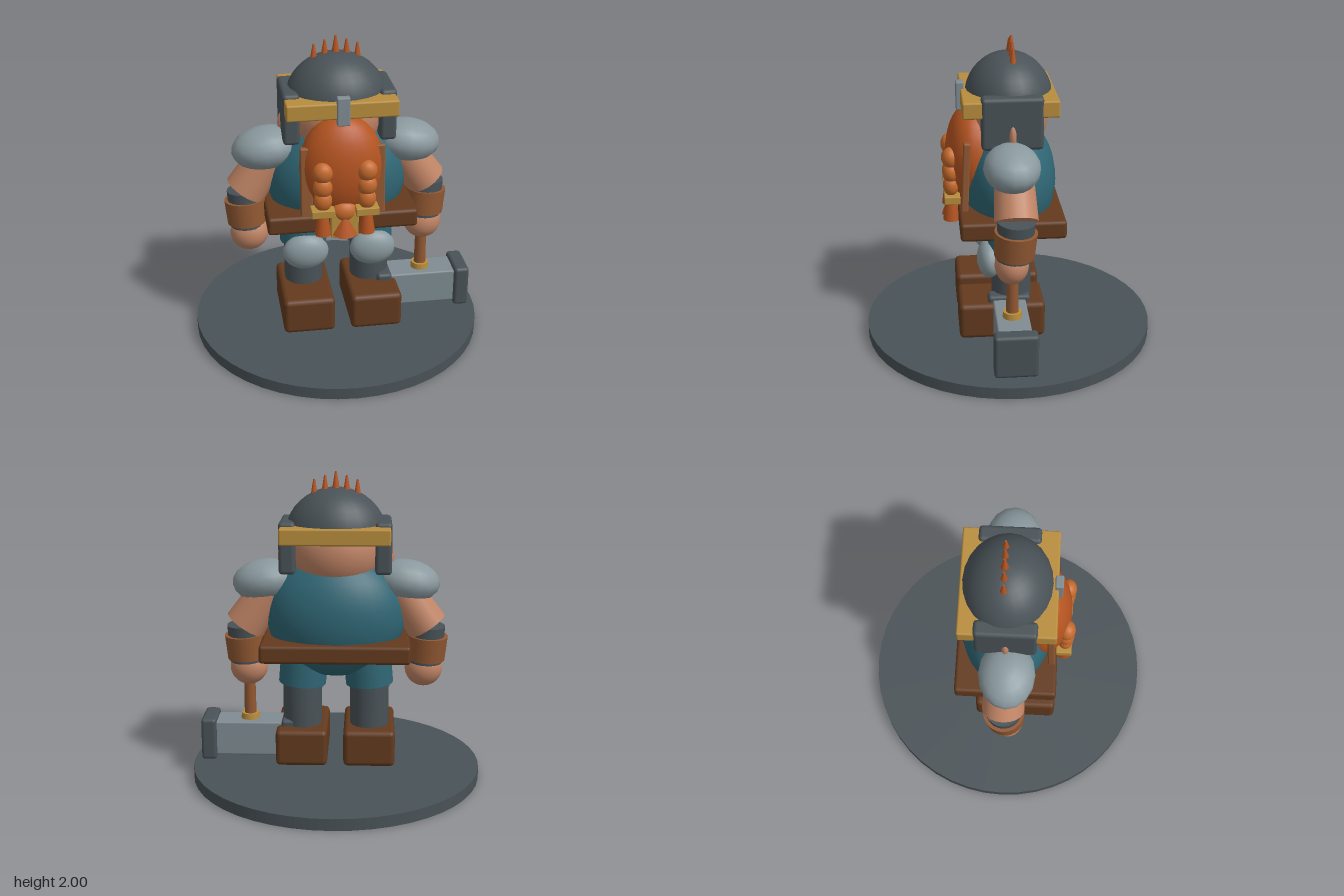
import * as THREE from 'three';
import { RoundedBoxGeometry } from 'three/addons/geometries/RoundedBoxGeometry.js';

const material = (name, color) => {
  const m = new THREE.MeshStandardMaterial({ color });
  m.name = name;
  return m;
};

export function createModel() {
  const root = new THREE.Group();
  root.name = 'dwarfSmith';

  const slate = material('slate', 0x495257);
  const steel = material('steel', 0x8a999e);
  const plate = material('plateSteel', 0x7f8c92);
  const skin = material('skin', 0xc08465);
  const teal = material('tealCloth', 0x2f6674);
  const brown = material('darkLeather', 0x633a1e);
  const leather = material('tanLeather', 0x915832);
  const gold = material('gold', 0xb88d3d);
  const orange = material('beardOrange', 0xb55420);
  const amber = material('braidOrange', 0xc4692c);

  function add(name, geometry, mat, x = 0, y = 0, z = 0, parent = root) {
    const mesh = new THREE.Mesh(geometry, mat);
    mesh.name = name;
    mesh.position.set(x, y, z);
    parent.add(mesh);
    return mesh;
  }
  const box = (name, mat, size, pos, r = 0.02) =>
    add(name, new RoundedBoxGeometry(...size, 2, r), mat, ...pos);
  const ball = (name, mat, radii, pos, w = 24, h = 16) => {
    const mesh = add(name, new THREE.SphereGeometry(1, w, h), mat, ...pos);
    mesh.scale.set(...radii);
    return mesh;
  };
  // Cylinder or cone running from point a (radius ra) to point b (radius rb)
  function rod(name, mat, a, b, ra, rb = ra, sides = 20) {
    const p = new THREE.Vector3(...a), q = new THREE.Vector3(...b);
    const dir = q.clone().sub(p);
    const mesh = add(name, new THREE.CylinderGeometry(rb, ra, dir.length(), sides), mat);
    mesh.position.copy(p).add(q).multiplyScalar(0.5);
    mesh.quaternion.setFromUnitVectors(new THREE.Vector3(0, 1, 0), dir.normalize());
    return mesh;
  }

  // Stand
  rod('base', slate, [0, 0, 0], [0, 0.075, 0], 0.945, 0.945, 48);

  // Body and belt
  ball('torso', teal, [0.45, 0.41, 0.302], [0, 1.08, 0], 32, 20);
  box('belt', brown, [0.95, 0.118, 0.655], [0, 0.887, 0.003], 0.022);

  // Paired limbs, armour and straps
  for (const s of [-1, 1]) {
    const side = s > 0 ? 'left' : 'right';

    box(side + 'Boot', brown, [0.335, 0.24, 0.55], [s * 0.22, 0.223, 0.068], 0.032);
    rod(side + 'Shin', slate, [s * 0.22, 0.3, 0], [s * 0.22, 0.68, 0], 0.127);
    rod(side + 'Thigh', teal, [s * 0.22, 0.62, 0], [s * 0.2, 0.92, 0], 0.155, 0.15);
    ball(side + 'KneePad', steel, [0.15, 0.122, 0.08], [s * 0.22, 0.6, 0.14], 20, 14);

    const pauldron = ball(side + 'Pauldron', steel, [0.215, 0.136, 0.175],
      [s * 0.455, 1.3, 0.015], 16, 10);
    pauldron.rotation.z = -s * 0.14;
    rod(side + 'UpperArm', skin, [s * 0.43, 1.24, 0], [s * 0.588, 1.005, 0], 0.12, 0.135);
    rod(side + 'Forearm', slate, [s * 0.593, 1.01, 0], [s * 0.58, 0.765, 0.012], 0.115, 0.112);
    rod(side + 'Bracer', leather, [s * 0.594, 0.945, 0.002], [s * 0.584, 0.785, 0.012], 0.132, 0.125);
    ball(side + 'Hand', skin, [0.123, 0.122, 0.105], [s * 0.573, 0.717, 0.027]);

    const strap = box(side + 'ChestStrap', leather, [0.075, 0.46, 0.045],
      [s * 0.227, 1.16, 0.284], 0.01);
    strap.rotation.x = -0.045;

    // Cheek guard and ear
    box(side + 'CheekGuard', slate, [0.105, 0.33, 0.38], [s * 0.302, 1.535, 0], 0.025);
    ball(side + 'Ear', skin, [0.042, 0.085, 0.027], [s * 0.33, 1.455, 0], 14, 10);

    // Braid: beads, clasp and flared tuft
    [[1.26, 0.064], [1.165, 0.062], [1.075, 0.058]].forEach(([y, r], i) =>
      ball(side + 'BraidBead' + (i + 1), amber, [r, 0.068, r * 0.85],
        [s * 0.137, y, 0.375], 16, 12));
    rod(side + 'BraidTuft', orange, [s * 0.138, 0.845, 0.375], [s * 0.138, 1.0, 0.375],
      0.052, 0.03, 12);
    box(side + 'BraidClasp', gold, [0.145, 0.052, 0.1], [s * 0.138, 0.996, 0.368], 0.006);
  }

  // Head and beard
  ball('head', skin, [0.29, 0.27, 0.25], [0, 1.5, 0]);
  ball('beard', orange, [0.265, 0.33, 0.175], [0, 1.245, 0.23]);
  ball('beardTip', amber, [0.082, 0.07, 0.06], [0, 0.98, 0.34], 16, 12);
  box('beltBuckle', gold, [0.175, 0.165, 0.06], [0, 0.897, 0.352], 0.008);
  rod('beardTuft', orange, [0, 0.845, 0.35], [0, 0.955, 0.375], 0.085, 0.012, 12);

  // Helmet: closed dome, square band and nose guard
  const profile = [new THREE.Vector2(0, 0)];
  for (let i = 0; i <= 10; i++) {
    const a = (i / 10) * Math.PI / 2;
    profile.push(new THREE.Vector2(Math.cos(a), Math.sin(a)));
  }
  const dome = add('helmetDome', new THREE.LatheGeometry(profile, 24), slate, 0, 1.6, 0);
  dome.scale.set(0.322, 0.3, 0.28);
  dome.material.side = THREE.DoubleSide;
  box('helmetBand', gold, [0.69, 0.105, 0.59], [0, 1.623, 0.008], 0.012);
  box('noseGuard', plate, [0.08, 0.18, 0.05], [0, 1.628, 0.305], 0.008);

  // Crest of spikes along the crown
  for (let i = -2; i <= 2; i++) {
    const tip = 2 - Math.abs(i) * 0.025;
    rod('crestSpike', orange, [i * 0.068, tip - 0.125, -0.018], [i * 0.068, tip, -0.018],
      0.028, 0.006, 10);
  }

  // Hammer held head down in the left hand
  const hx = 0.57, hz = 0.022;
  rod('hammerShaft', leather, [hx, 0.34, hz], [hx, 0.68, hz], 0.04, 0.036, 14);
  rod('hammerCollar', gold, [hx, 0.355, hz], [hx, 0.398, hz], 0.062, 0.058, 16);
  box('hammerHead', plate, [0.5, 0.23, 0.21], [hx, 0.245, hz], 0.012);
  for (const s of [-1, 1])
    box('hammerFace', slate, [0.1, 0.28, 0.27], [hx + s * 0.265, 0.245, hz], 0.022);

  return root;
}
